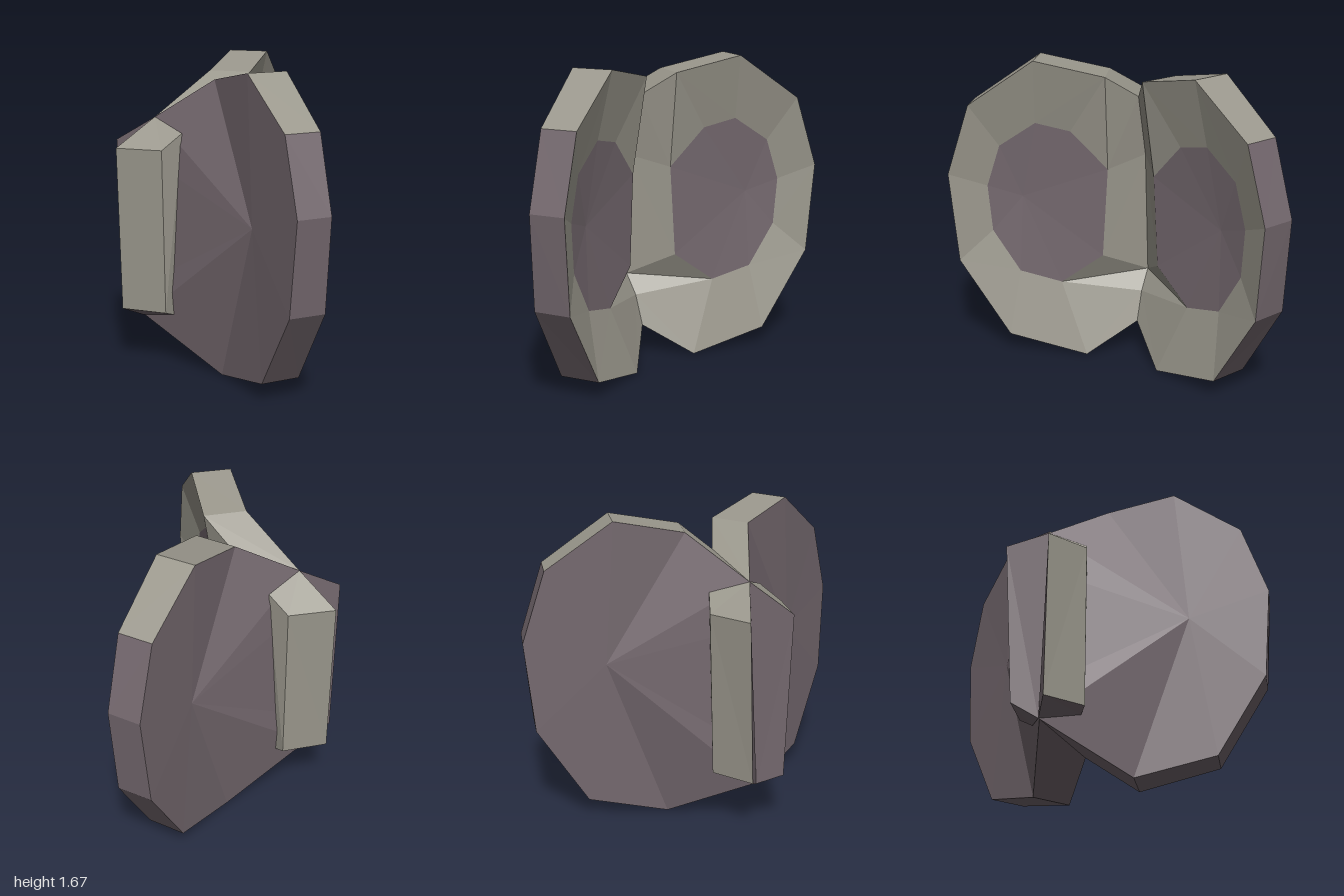
import * as THREE from 'three';

const grey = new THREE.MeshStandardMaterial({ color: 0x9a978c });
grey.name = 'warm grey';
const mauve = new THREE.MeshStandardMaterial({ color: 0x74686e });
mauve.name = 'dusky mauve';

// Flat-faced mesh from convex polygons; side -1 mirrors it across z = 0
function facets(name, polygons, material, side) {
  const pos = [];
  for (const poly of polygons) {
    for (let i = 1; i + 1 < poly.length; i++) {
      const tri = [poly[0], poly[i], poly[i + 1]];
      if (side < 0) tri.reverse();
      for (const [x, y, z] of tri) pos.push(x, y, z * side);
    }
  }
  const geo = new THREE.BufferGeometry();
  geo.setAttribute('position', new THREE.Float32BufferAttribute(pos, 3));
  geo.computeVertexNormals();
  const mesh = new THREE.Mesh(geo, material);
  mesh.name = name;
  return mesh;
}

// Fan around a centre, following a closed loop
const fan = (centre, loop) => loop.map((p, i) => [centre, p, loop[(i + 1) % loop.length]]);
// Band of quads between two matching loops
const band = (a, b, from, to) => {
  const out = [];
  for (let i = from; i < to; i++) out.push([a[i + 1], a[i], b[i], b[i + 1]]);
  return out;
};

// Inner rim of one shell, from the top of the cleft round to its bottom
const rim = [
  [0.05, 1.47, 0], [0.215, 1.595, 0.11], [0.345, 1.67, 0.47], [0.47, 1.42, 0.81], [0.515, 1.03, 0.93],
  [0.50, 0.53, 0.89], [0.41, 0.10, 0.63], [0.26, 0, 0.22], [0.07, 0.175, 0],
];
// Matching outer rim, ending on the hinge line
const outer = [
  [-0.31, 1.37, 0], [0, 1.595, 0.20], [0.14, 1.67, 0.55], [0.29, 1.42, 0.88], [0.34, 1.03, 1.0],
  [0.315, 0.53, 0.96], [0.21, 0.10, 0.71], [0.035, 0, 0.31], [-0.38, 0.25, 0],
];
const hinge = [[-0.36, 0.44, 0], [-0.33, 1.13, 0]];

// Recessed floor outline given as (z, y), lying on a slanted plane
const floor = [
  [0.14, 1.07], [0.33, 1.275], [0.51, 1.315], [0.70, 1.18], [0.77, 0.95],
  [0.75, 0.69], [0.61, 0.455], [0.39, 0.40], [0.17, 0.57],
].map(([z, y]) => [0.09 + 0.37 * z, y, z]);

// Inner spine where the two shells meet
const spine = [[-0.03, 1.13, 0], [-0.06, 0.45, 0], [0.015, 0.34, 0]];

// Hinge bar: top and bottom quads
const barTop = [[-0.31, 1.37, 0], [-0.52, 1.225, 0.135], [-0.28, 1.225, 0.225], [-0.17, 1.305, 0.16]];
const barBottom = [[-0.39, 0.25, 0], [-0.50, 0.32, 0.10], [-0.265, 0.32, 0.20], [-0.22, 0.295, 0.15]];

function buildShell(side) {
  const shell = new THREE.Group();
  shell.name = side > 0 ? 'frontShell' : 'backShell';

  // Sloped ring between rim and floor
  const ring = [[rim[1], floor[1], floor[0]]];
  for (let i = 1; i < 7; i++) ring.push([rim[i], rim[i + 1], floor[i + 1], floor[i]]);
  // Spine faces beside the cleft
  const inner = [
    [rim[0], rim[1], floor[0], spine[0]],
    [spine[0], floor[0], floor[8], spine[1]],
    [spine[1], floor[8], floor[7], spine[2]],
    [spine[2], floor[7], rim[7], rim[8]],
  ];

  shell.add(
    facets('innerRing', ring, grey, side),
    facets('innerSpine', inner, grey, side),
    facets('recessFloor', fan([0.285, 0.89, 0.6], floor), mauve, side),
    facets('upperEdge', band(rim, outer, 0, 3), grey, side),
    facets('lowerEdge', band(rim, outer, 3, 8), mauve, side),
    facets('outerBack', fan([0.165, 0.89, 0.6], [...outer, ...hinge].reverse()), mauve, side),
  );

  // Hinge bar behind the shell
  const bar = new THREE.Group();
  bar.name = 'hingeBar';
  const top = [...barTop, barTop[0]];
  const bottom = [...barBottom, barBottom[0]];
  bar.add(
    facets('barOuterFaces', [barTop, ...band(top, bottom, 1, 4)], grey, side),
    facets('barInnerFaces', [[...barBottom].reverse(), ...band(top, bottom, 0, 1)], mauve, side),
  );
  shell.add(bar);
  return shell;
}

export function createModel() {
  const model = new THREE.Group();
  model.name = 'openShells';
  for (const side of [1, -1]) model.add(buildShell(side));
  return model;
}
